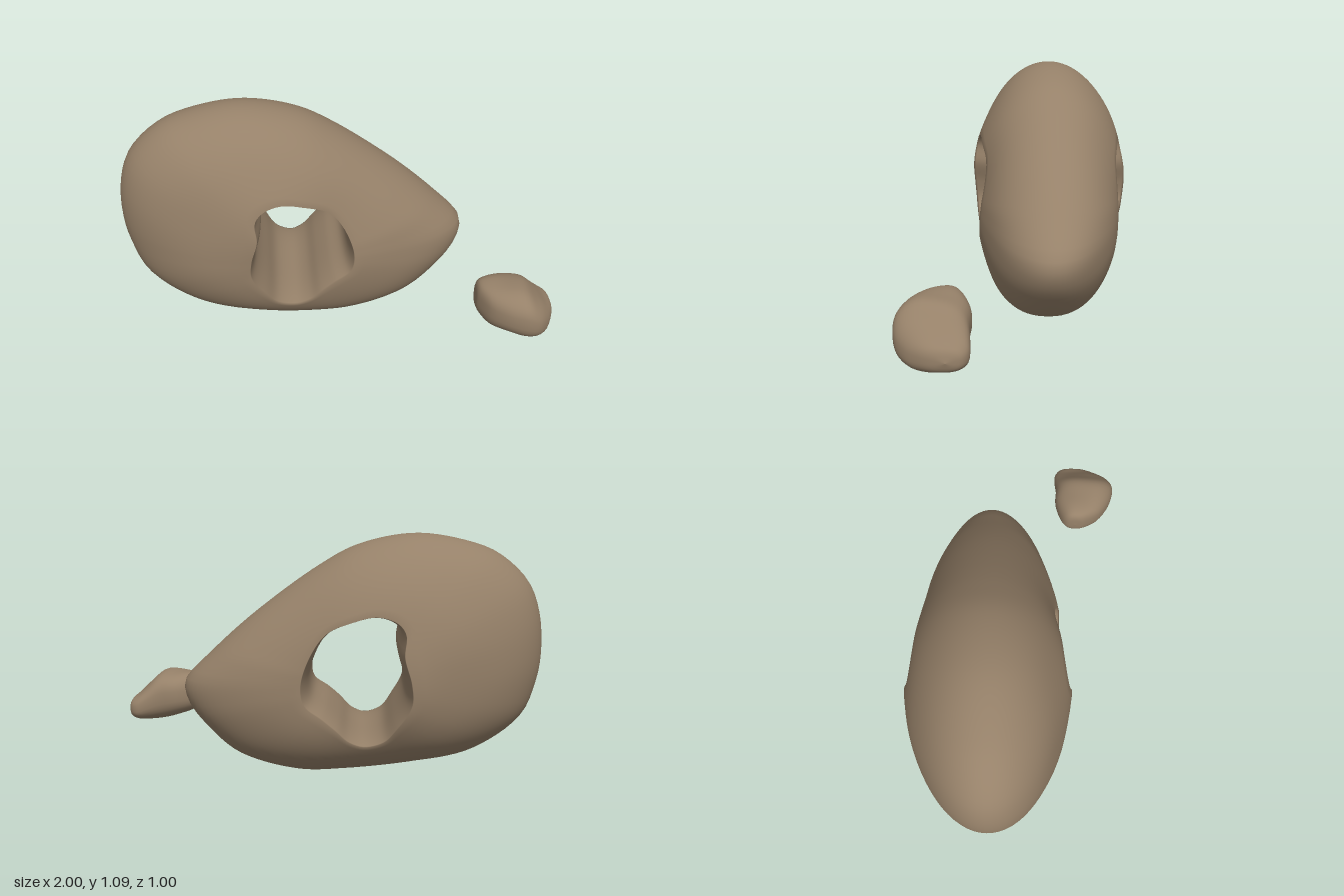
import * as THREE from 'three';

const stoneMat = new THREE.MeshStandardMaterial({ color: 0x968169 });
stoneMat.name = 'stone brown';

// Smooth surface from a grid of points; u always wraps, v wraps on request
function gridSurface(nu, nv, wrapV, point) {
  const pos = [], idx = [];
  for (let i = 0; i < nu; i++) for (let j = 0; j < nv; j++) pos.push(...point(i, j));
  for (let i = 0; i < nu; i++) {
    for (let j = 0; j < (wrapV ? nv : nv - 1); j++) {
      const i2 = (i + 1) % nu, j2 = (j + 1) % nv;
      const a = i * nv + j, b = i * nv + j2, c = i2 * nv + j2, d = i2 * nv + j;
      idx.push(a, b, c, a, c, d);
    }
  }
  const g = new THREE.BufferGeometry();
  g.setAttribute('position', new THREE.Float32BufferAttribute(pos, 3));
  g.setIndex(idx);
  g.computeVertexNormals();
  return g;
}

// Radius of a closed outline as a function of the angle round a centre
function polarOutline(points, cx, cy) {
  const curve = new THREE.CatmullRomCurve3(points.map(([x, y]) => new THREE.Vector3(x - cx, y - cy, 0)), true);
  const s = curve.getPoints(400).map(p => [Math.atan2(p.y, p.x), Math.hypot(p.x, p.y)]).sort((a, b) => a[0] - b[0]);
  const first = s[0], last = s[s.length - 1];
  s.unshift([last[0] - 2 * Math.PI, last[1]]);
  s.push([first[0] + 2 * Math.PI, first[1]]);
  return angle => {
    const a = Math.atan2(Math.sin(angle), Math.cos(angle));
    const k = Math.max(1, s.findIndex(p => p[0] >= a));
    const [a0, r0] = s[k - 1], [a1, r1] = s[k];
    return r0 + (r1 - r0) * (a1 > a0 ? (a - a0) / (a1 - a0) : 0);
  };
}

const lumps = (x, y, z, f) => Math.sin(f * x + 1.3) * Math.sin(f * 1.2 * y + 0.4) * Math.sin(f * 0.9 * z + 2.1);

// Large egg-shaped stone with an irregular hole bored from front to back
function holedStone() {
  const cx = -0.17, cy = 0.47;
  const outer = polarOutline([
    [0.622, 0.42], [0.5, 0.55], [0.3, 0.73], [0, 0.95], [-0.17, 1.04], [-0.43, 1.09], [-0.68, 1.05],
    [-0.8, 1.0], [-0.93, 0.88], [-0.985, 0.74], [-1, 0.55], [-0.98, 0.42], [-0.92, 0.27], [-0.7, 0.11],
    [-0.43, 0.05], [-0.1, 0.01], [0.1, 0.004], [0.38, 0.08], [0.52, 0.2], [0.6, 0.3], [0.625, 0.37],
  ], cx, cy);
  const hole = polarOutline([
    [0.045, 0.46], [0, 0.6], [-0.05, 0.67], [-0.13, 0.71], [-0.25, 0.74], [-0.33, 0.715], [-0.36, 0.67],
    [-0.35, 0.58], [-0.375, 0.48], [-0.38, 0.4], [-0.33, 0.3], [-0.28, 0.23], [-0.2, 0.205],
    [-0.14, 0.23], [-0.09, 0.285], [-0.04, 0.33], [0.03, 0.38],
  ], cx, cy);
  const nu = 120, shell = 36, wall = 14;
  return gridSurface(nu, shell + wall, true, (i, j) => {
    const th = (i / nu) * Math.PI * 2, c = Math.cos(th), s = Math.sin(th);
    const ro = outer(th), rh = hole(th);
    const soft = (outer(th - 0.2) + ro + outer(th + 0.2)) / 3; // rounder outline for the faces
    const flare = 0.015 + 0.012 * Math.max(0, Math.cos(th + 0.6)) + 0.012 * Math.max(0, -c);
    const half = 0.37 - 0.03 * c;
    const blunt = 1 - 0.25 * Math.max(0, -s); // the underside is fuller than the top
    const a0 = Math.asin((rh + flare) / soft);
    let r, h;
    if (j <= shell) { // rounded outside, front rim to back rim
      const a = a0 + (Math.PI - 2 * a0) * (j / shell), sa = Math.sin(a), ca = Math.cos(a);
      r = sa * (soft + (ro - soft) * sa ** 4);
      h = half * Math.sign(ca) * Math.abs(ca) ** blunt;
    } else { // wall of the hole, back rim to front rim
      const w = -Math.cos(((j - shell) / wall) * Math.PI);
      r = rh + flare * w ** 4;
      h = half * Math.cos(a0) ** blunt * w;
    }
    const t = r / ro;
    const zc = -0.113 + t * t * (0.036 * Math.max(0, -s) - 0.015 * c);
    const x = cx + r * c, y = cy + r * s;
    return [x, y, zc + h + 0.008 * lumps(x, y, h, 9) * (1 - t * t)];
  });
}

// Small pebble lofted along x: x, low y, high y, back z, front z
function pebbleStone() {
  const sections = [
    [0.628, 0.25, 0.26, 0.3, 0.31], [0.638, 0.19, 0.33, 0.255, 0.36], [0.68, 0.155, 0.35, 0.225, 0.43],
    [0.76, 0.132, 0.355, 0.2, 0.485], [0.84, 0.11, 0.348, 0.203, 0.505], [0.9, 0.105, 0.298, 0.197, 0.49],
    [0.95, 0.11, 0.25, 0.197, 0.44], [0.985, 0.13, 0.22, 0.222, 0.37], [1, 0.17, 0.175, 0.28, 0.29],
  ];
  const curveOf = (lo, hi) => new THREE.CatmullRomCurve3(
    sections.map(q => new THREE.Vector3(q[0], q[lo], q[hi])), false, 'centripetal');
  const yCurve = curveOf(1, 2), zCurve = curveOf(3, 4);
  const nu = 40, nv = 33;
  const soft = v => Math.sign(v) * Math.abs(v) ** 0.78;
  return gridSurface(nu, nv, false, (i, j) => {
    const a = (i / nu) * Math.PI * 2, k = j / (nv - 1);
    const p = yCurve.getPoint(k), q = zCurve.getPoint(k);
    const end = j === 0 || j === nv - 1 ? 0 : 1;
    const y = (p.y + p.z) / 2 + end * soft(Math.sin(a)) * (p.z - p.y) / 2;
    const z = (q.y + q.z) / 2 + end * soft(Math.cos(a)) * (q.z - q.y) / 2;
    return [p.x, y + 0.004 * end * lumps(p.x, y, z, 24), z];
  });
}

export function createModel() {
  const group = new THREE.Group();
  for (const [name, geometry] of [['holedStone', holedStone()], ['pebble', pebbleStone()]]) {
    const mesh = new THREE.Mesh(geometry, stoneMat);
    mesh.name = name;
    group.add(mesh);
  }
  return group;
}
